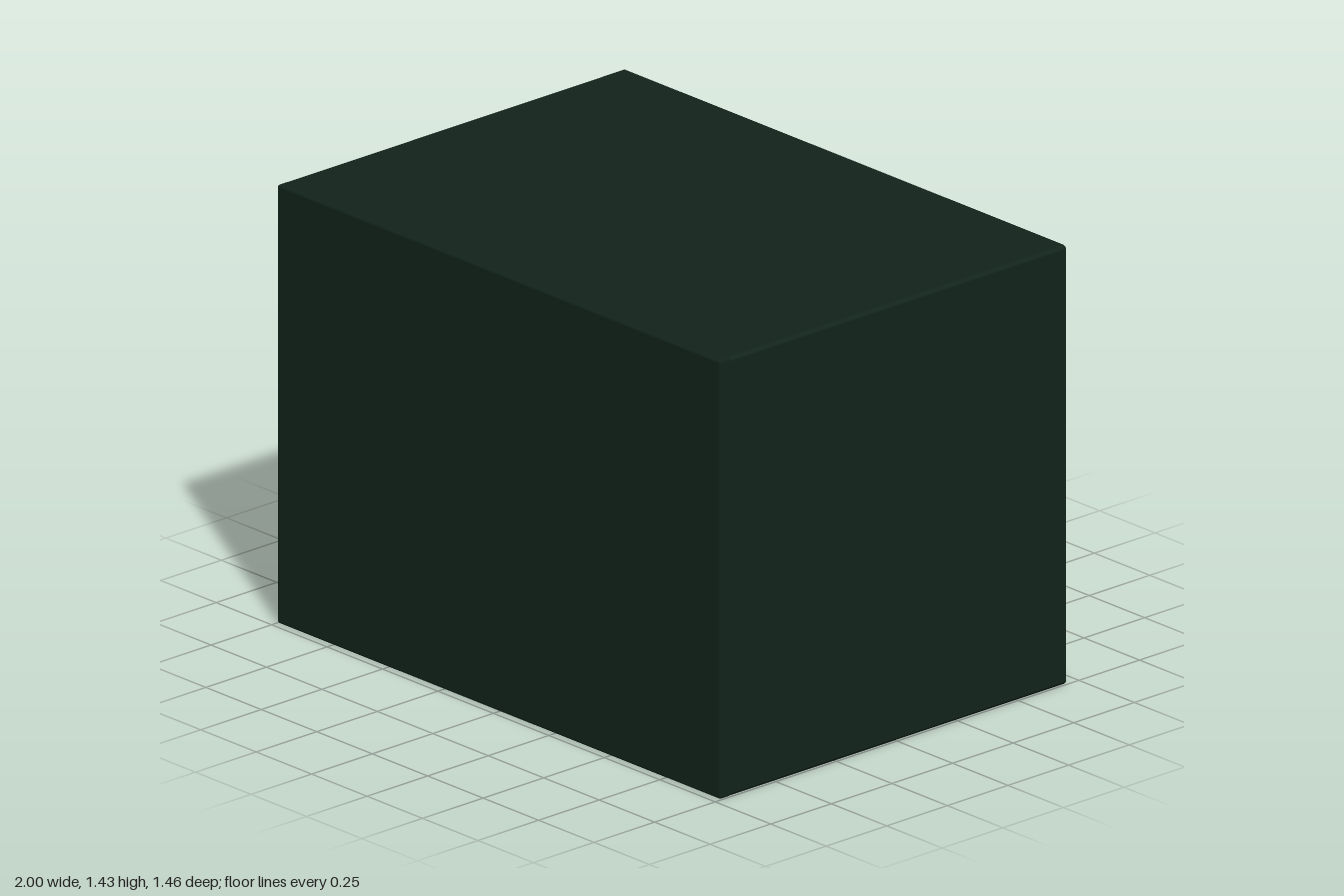
import * as THREE from 'three';
import { RoundedBoxGeometry } from 'three/addons/geometries/RoundedBoxGeometry.js';

const paint = (color) => new THREE.MeshStandardMaterial({ color });

// Box given by its [min, max] range on each axis, with a small edge bevel
function block(name, x, y, z, material, bevel = 0.006) {
  const geometry = new RoundedBoxGeometry(x[1] - x[0], y[1] - y[0], z[1] - z[0], 1, bevel);
  const mesh = new THREE.Mesh(geometry, material);
  mesh.position.set((x[0] + x[1]) / 2, (y[0] + y[1]) / 2, (z[0] + z[1]) / 2);
  mesh.name = name;
  return mesh;
}

// Rectangle outline with chamfered corners
function outline(Type, x, y0, y1, c) {
  const points = [[-x + c, y0], [x - c, y0], [x, y0 + c], [x, y1 - c],
    [x - c, y1], [-x + c, y1], [-x, y1 - c], [-x, y0 + c]];
  return new Type(points.map(([px, py]) => new THREE.Vector2(px, py)));
}

export function createModel() {
  const model = new THREE.Group();
  model.name = 'enclosure';
  const dark = paint(0x12241c);
  const grey = paint(0x3c392f);
  const wood = paint(0x6b4510);
  const white = paint(0xcccccc);

  // Floor, ceiling and side walls as one sleeve, open at the back
  const sleeve = outline(THREE.Shape, 1, 0, 1.435, 0.01);
  sleeve.holes.push(outline(THREE.Path, 0.95, 0.045, 1.395, 0.001));
  const bevel = 0.008;
  const sleeveGeometry = new THREE.ExtrudeGeometry(sleeve, {
    depth: 1.405 - 2 * bevel, bevelSize: bevel, bevelThickness: bevel,
    bevelOffset: -bevel, bevelSegments: 1,
  });
  const shell = new THREE.Mesh(sleeveGeometry, dark);
  shell.position.z = -0.705 + bevel;
  shell.name = 'shell';
  model.add(shell);

  // Closed front wall
  model.add(block('frontWall', [-1, 1], [0, 1.435], [0.68, 0.73], dark, 0.01));

  // Low barrier across the opening, with a protruding cap
  model.add(block('barrier', [-0.945, 0.945], [0.045, 0.46], [-0.695, -0.635], grey));
  model.add(block('barrierCap', [-0.935, 0.955], [0.45, 0.488], [-0.73, -0.61], grey));

  // Wooden box behind the barrier, its lid framed by a thin raised rim
  const crate = new THREE.Group();
  crate.name = 'woodenBox';
  crate.add(block('boxBody', [-0.1, 0.84], [0.045, 0.36], [-0.6, -0.345], wood));
  crate.add(block('boxLid', [-0.12, 0.86], [0.35, 0.378], [-0.62, -0.33], wood));
  for (const x of [-0.126, 0.834]) {
    crate.add(block('lidEndRim', [x, x + 0.03], [0.35, 0.392], [-0.625, -0.325], wood));
  }
  for (const z of [-0.625, -0.345]) {
    crate.add(block('lidLongRim', [-0.126, 0.864], [0.35, 0.39], [z, z + 0.02], wood));
  }
  model.add(crate);

  // Pale fittings on the inner side wall
  model.add(block('wallPlate', [-0.955, -0.94], [0.56, 0.84], [-0.455, -0.175], white, 0.003));
  model.add(block('wallButton', [-0.955, -0.94], [0.675, 0.73], [-0.545, -0.482], white, 0.003));
  return model;
}
